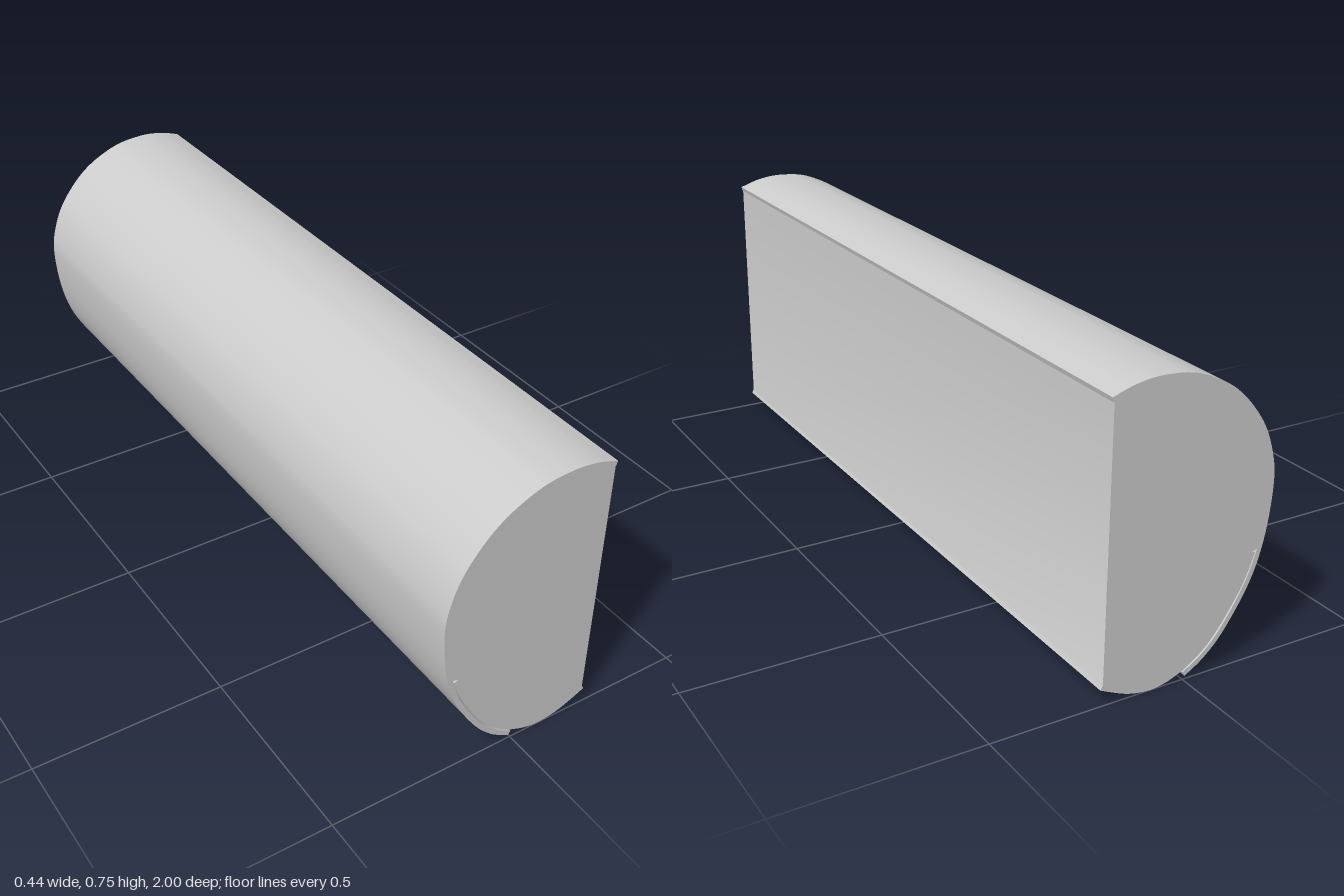
import * as THREE from 'three';
import { toCreasedNormals } from 'three/addons/utils/BufferGeometryUtils.js';

const LENGTH = 2;
const THICKNESS = 0.013;

const smooth = (pairs, n) =>
  new THREE.SplineCurve(pairs.map(([x, y]) => new THREE.Vector2(x, y))).getPoints(n);

// Straight prism along z from a closed outline
function prism(name, outline) {
  const geometry = new THREE.ExtrudeGeometry(new THREE.Shape(outline), {
    depth: LENGTH, bevelEnabled: false,
  });
  geometry.translate(0, 0, -LENGTH / 2);
  const mesh = new THREE.Mesh(
    toCreasedNormals(geometry, 0.5),
    new THREE.MeshStandardMaterial({ color: 0xcccccc })
  );
  mesh.name = name;
  return mesh;
}

export function createModel() {
  const group = new THREE.Group();
  group.name = 'halfRoundHousing';

  // Outer line of the cover, from the top lip over the dome to the lower free edge
  const outer = smooth([
    [0.22, 0.724], [0.16, 0.742], [0.09, 0.748], [0, 0.734], [-0.1, 0.681],
    [-0.178, 0.592], [-0.215, 0.5], [-0.222, 0.42], [-0.207, 0.3], [-0.174, 0.2],
    [-0.113, 0.1], [-0.06, 0.043], [-0.006, 0.008],
  ], 96);

  // Inner line, offset by the sheet thickness
  const inner = outer.map((p, i) => {
    const a = outer[Math.max(i - 1, 0)];
    const b = outer[Math.min(i + 1, outer.length - 1)];
    const t = b.clone().sub(a).normalize();
    return new THREE.Vector2(p.x - t.y * THICKNESS, p.y + t.x * THICKNESS);
  });
  group.add(prism('curvedCover', [...outer, ...[...inner].reverse()]));

  // Core: follows the cover, then steps inward to leave the narrow slot
  const seated = inner.filter((p) => p.y > 0.284 && p.x < 0.215);
  const slotWall = smooth([
    [-0.184, 0.272], [-0.152, 0.194], [-0.09, 0.1], [-0.045, 0.054], [0, 0.024],
  ], 24);
  const belly = smooth([
    [0, 0.024], [0.045, 0.007], [0.09, 0.001], [0.15, 0.011], [0.222, 0.042],
  ], 24);
  group.add(prism('core', [
    new THREE.Vector2(0.215, 0.711),
    ...seated,
    new THREE.Vector2(-0.194, 0.282),
    new THREE.Vector2(-0.174, 0.276),
    ...slotWall,
    ...belly.slice(1),
    new THREE.Vector2(0.216, 0.053),
  ]));

  return group;
}
